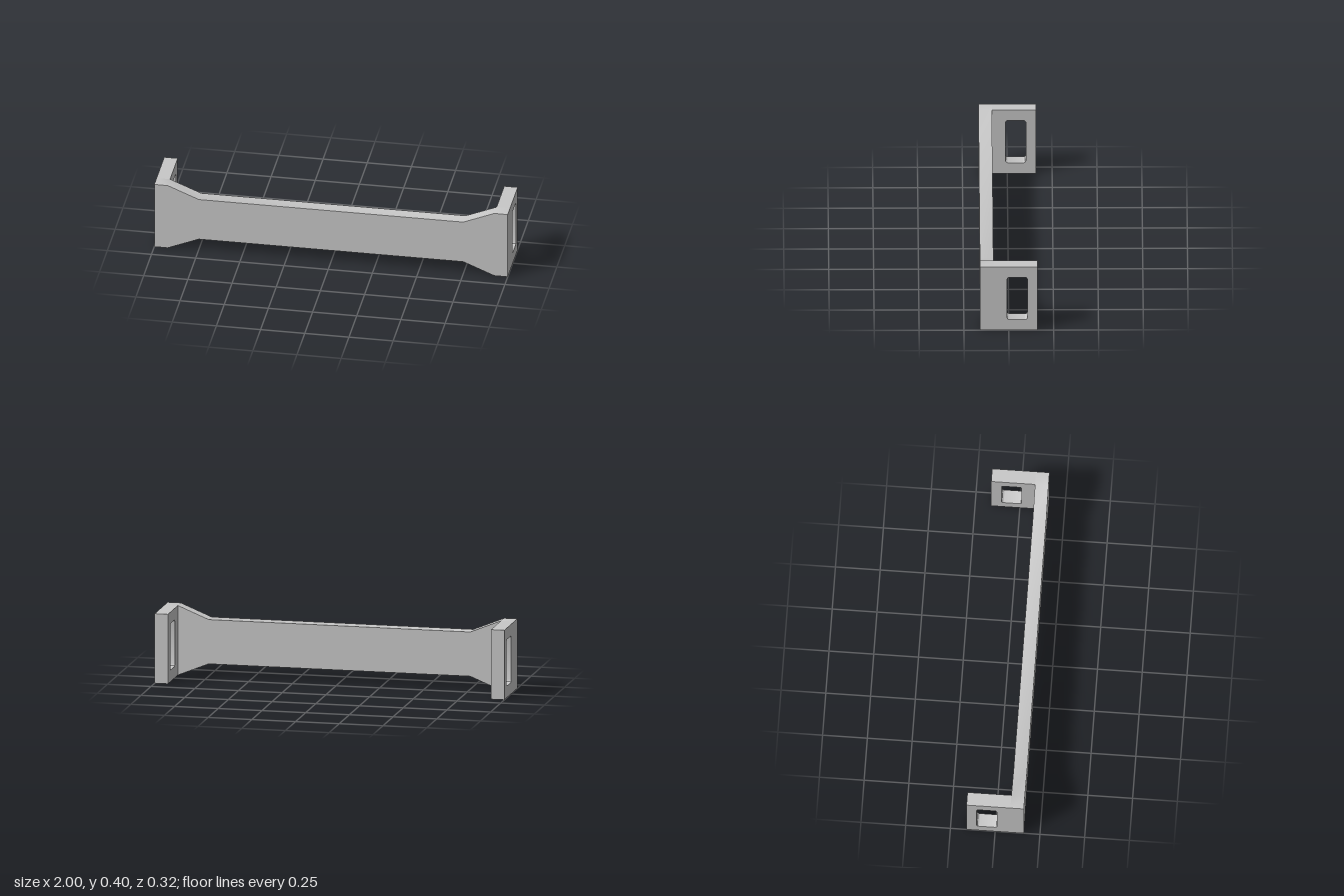
import * as THREE from 'three';
import { toCreasedNormals } from 'three/addons/utils/BufferGeometryUtils.js';

const HEIGHT = 0.396, MID = HEIGHT / 2;
const HALF_DEPTH = 0.16, BAR = 0.075, PLATE = 0.076;
const INNER_X = 1 - PLATE, BAR_BACK = HALF_DEPTH - BAR;

// Rounded rectangle path centred on (cx, cy)
function roundedSlot(cx, cy, w, h, r) {
  const p = new THREE.Path();
  const x = w / 2 - r, y = h / 2 - r;
  p.absarc(cx + x, cy + y, r, 0, Math.PI / 2);
  p.absarc(cx - x, cy + y, r, Math.PI / 2, Math.PI);
  p.absarc(cx - x, cy - y, r, Math.PI, Math.PI * 1.5);
  p.absarc(cx + x, cy - y, r, Math.PI * 1.5, Math.PI * 2);
  p.closePath();
  return p;
}

// Extrusion with gentle bends smoothed and real corners kept sharp
function extrude(shape, depth) {
  const geometry = new THREE.ExtrudeGeometry(shape, { depth, bevelEnabled: false, curveSegments: 8 });
  return toCreasedNormals(geometry, Math.PI / 6);
}

export function createModel() {
  const group = new THREE.Group();
  group.name = 'slottedHandle';
  const grey = new THREE.MeshStandardMaterial({ color: 0xc8c8c8 });
  grey.name = 'lightGrey';

  // Front bar, flaring to full height at both ends
  const neckX = 0.748, neck = 0.126;
  const lower = [[-1, -MID], [-INNER_X, -MID], [-neckX, -neck], [neckX, -neck], [INNER_X, -MID], [1, -MID]];
  const upper = lower.map(([x, y]) => [-x, -y]);
  const barShape = new THREE.Shape([...lower, ...upper].map(([x, y]) => new THREE.Vector2(x, y + MID)));
  const bar = new THREE.Mesh(extrude(barShape, BAR), grey);
  bar.name = 'frontBar';
  bar.position.z = BAR_BACK;
  group.add(bar);

  // End plates reaching back from the bar, each with a rounded slot
  const plateShape = new THREE.Shape([
    new THREE.Vector2(-BAR_BACK, 0), new THREE.Vector2(HALF_DEPTH, 0),
    new THREE.Vector2(HALF_DEPTH, HEIGHT), new THREE.Vector2(-BAR_BACK, HEIGHT),
  ]);
  plateShape.holes.push(roundedSlot(0.047, MID, 0.113, 0.265, 0.014));
  const plateGeometry = extrude(plateShape, PLATE).rotateY(Math.PI / 2);
  for (const [name, x] of [['leftEndPlate', INNER_X], ['rightEndPlate', -1]]) {
    const plate = new THREE.Mesh(plateGeometry, grey);
    plate.name = name;
    plate.position.x = x;
    group.add(plate);
  }
  return group;
}
